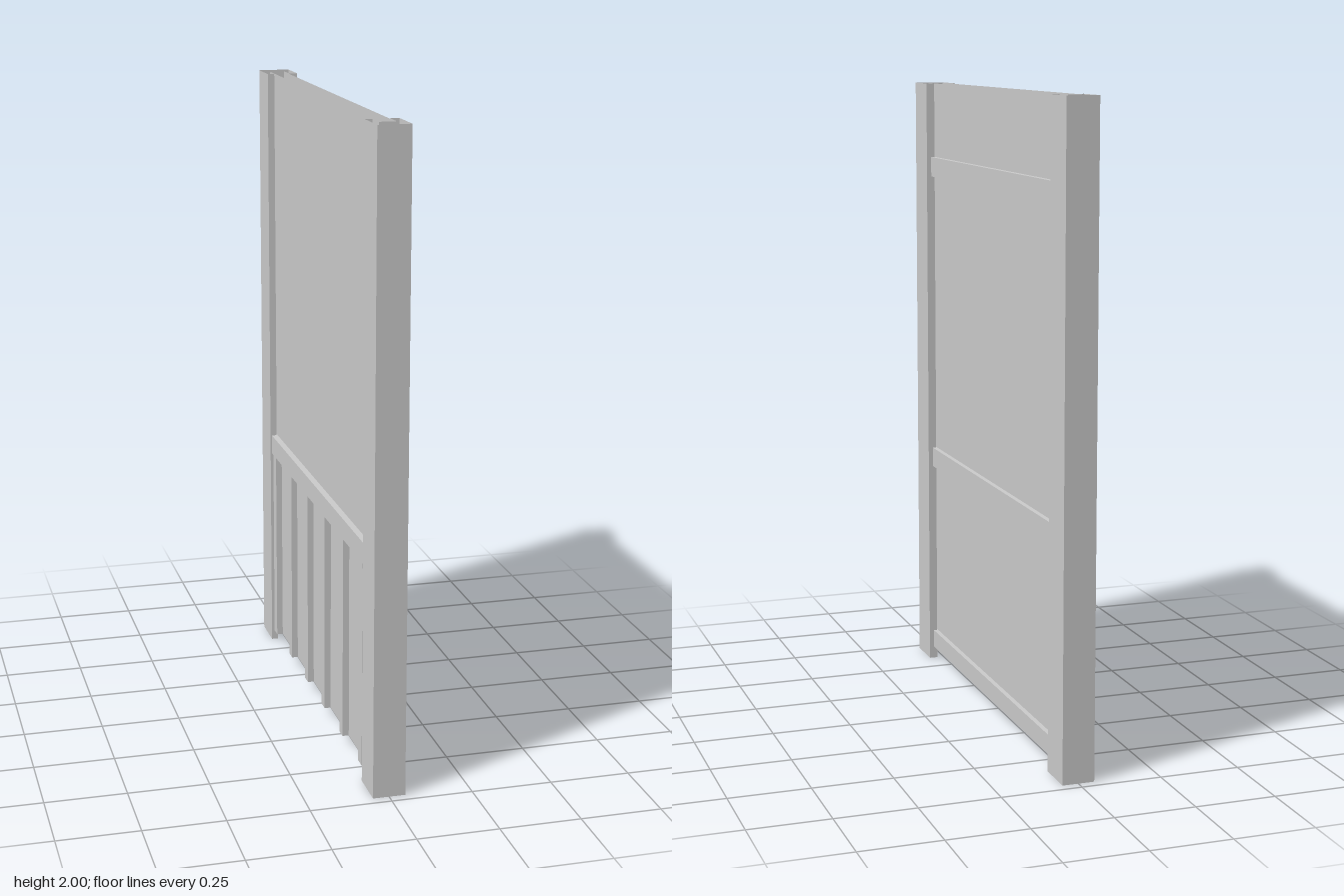
import * as THREE from 'three';

const mat = new THREE.MeshStandardMaterial({ color: 0xcccccc, side: THREE.DoubleSide, flatShading: true });

// Thin folded sheet: an [x, z] outline raised from y0 to y1, open at top and bottom
function sheet(name, outline, y0, y1) {
  const pos = [];
  for (let i = 0; i < outline.length - 1; i++) {
    const [ax, az] = outline[i], [bx, bz] = outline[i + 1];
    pos.push(ax, y0, az, bx, y0, bz, bx, y1, bz, ax, y0, az, bx, y1, bz, ax, y1, az);
  }
  const geo = new THREE.BufferGeometry();
  geo.setAttribute('position', new THREE.Float32BufferAttribute(pos, 3));
  geo.computeVertexNormals();
  const mesh = new THREE.Mesh(geo, mat);
  mesh.name = name;
  return mesh;
}

// Horizontal bar running the width of the panel
function rail(name, x0, x1, y0, y1) {
  const mesh = new THREE.Mesh(new THREE.BoxGeometry(x1 - x0, y1 - y0, 1.31), mat);
  mesh.position.set((x0 + x1) / 2, (y0 + y1) / 2, 0);
  mesh.name = name;
  return mesh;
}

export function createModel() {
  const group = new THREE.Group();
  const front = 0.02, back = -0.025, bottom = 0.04, top = 2;

  // Hollow grooved posts at both ends
  for (const s of [1, -1]) {
    const outline = [
      [0.05, 0.595], [0.05, 0.72], [-0.05, 0.72], [-0.05, 0.595],
      [-0.028, 0.595], [-0.028, 0.66], [0.023, 0.66], [0.023, 0.595], [0.05, 0.595],
    ].map(([x, z]) => [x, s * z]);
    group.add(sheet(s > 0 ? 'frontPost' : 'backPost', outline, 0, top));
  }

  // Two panel skins with a hollow between them
  group.add(sheet('leftSkin', [[front, -0.655], [front, 0.655]], bottom, top));
  group.add(sheet('rightSkin', [[back, -0.655], [back, 0.655]], bottom, top));

  // Rails
  group.add(rail('upperRail', back + 0.002, 0.035, 1.69, 1.755));
  group.add(rail('middleRail', -0.045, 0.035, 0.69, 0.755));
  const lower = rail('lowerRail', front, 0.035, bottom, 0.1);
  group.add(lower);

  // Folded stiffeners below the middle rail
  for (let i = 0; i < 6; i++) {
    const z = (i - 2.5) * 0.222, w = 0.02;
    group.add(sheet('stiffener', [[back, z - w], [-0.045, z - w], [-0.045, z + w], [back, z + w]], bottom, 0.69));
  }
  return group;
}
